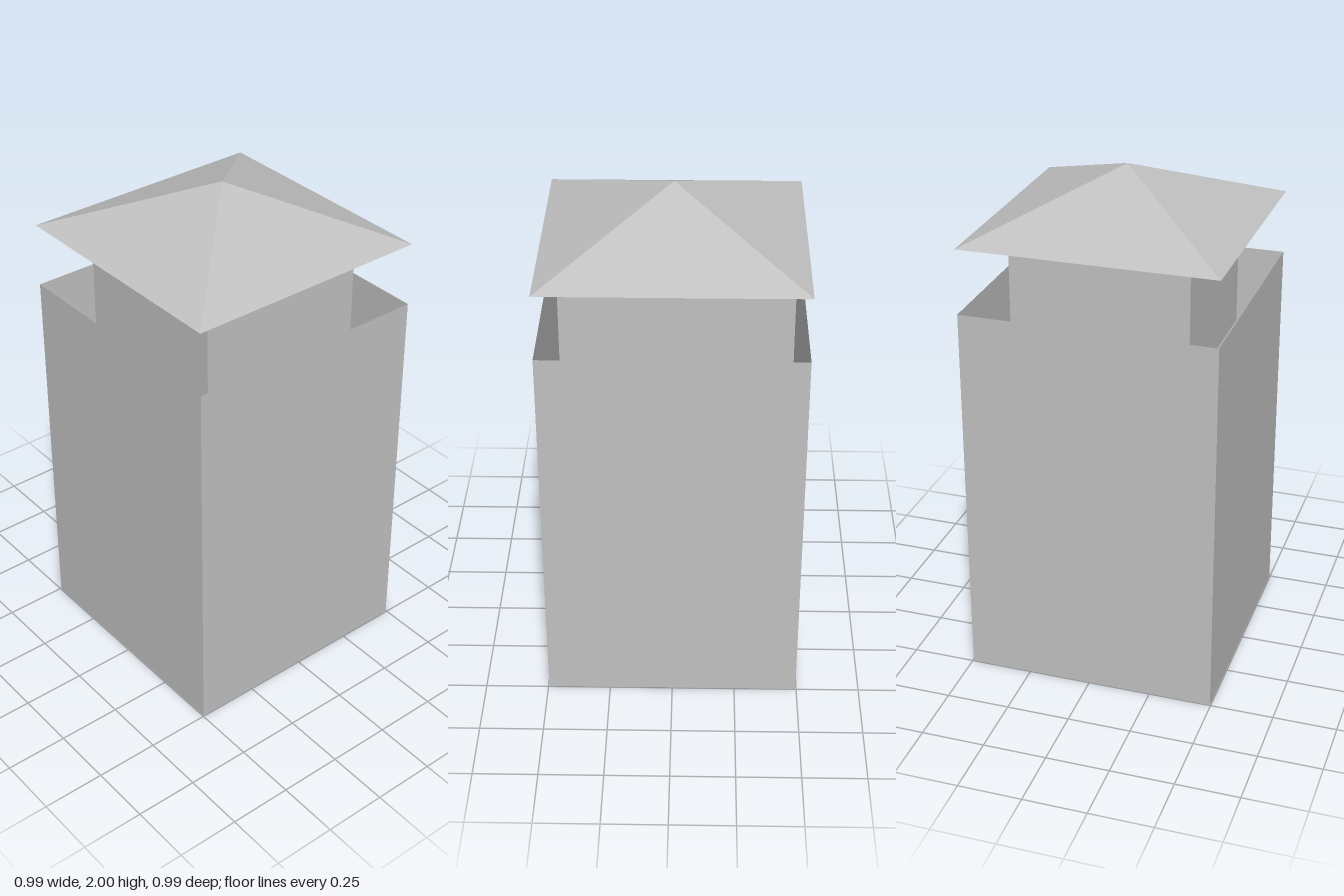
import * as THREE from 'three';

const HALF = 0.497;       // half width of the shaft and the roof
const NECK = 0.348;       // half width of the inner flue
const SHAFT_TOP = 1.525;
const EAVES = 1.78;
const PEAK = 2;

// Square tube with thin walls, open at both ends
function squareTube(name, half, bottom, top, material) {
  const geometry = new THREE.CylinderGeometry(half * Math.SQRT2, half * Math.SQRT2, top - bottom, 4, 1, true);
  geometry.rotateY(Math.PI / 4);
  const flat = geometry.toNonIndexed();
  flat.computeVertexNormals();
  const mesh = new THREE.Mesh(flat, material);
  mesh.name = name;
  mesh.position.y = (bottom + top) / 2;
  return mesh;
}

export function createModel() {
  const model = new THREE.Group();
  model.name = 'chimney';

  const grey = new THREE.MeshStandardMaterial({ color: 0xc0c0c0, flatShading: true, side: THREE.DoubleSide });
  grey.name = 'plain grey';

  // Wide outer shaft, and the narrower flue that rises out of it
  model.add(squareTube('shaft', HALF, 0, SHAFT_TOP, grey));
  model.add(squareTube('flue', NECK, 1.27, EAVES, grey));

  // Pyramid cap with a flat underside
  const capGeometry = new THREE.ConeGeometry(HALF * Math.SQRT2, PEAK - EAVES, 4);
  capGeometry.rotateY(Math.PI / 4);
  const cap = new THREE.Mesh(capGeometry, grey);
  cap.name = 'roofCap';
  cap.position.y = (EAVES + PEAK) / 2;
  model.add(cap);

  return model;
}
